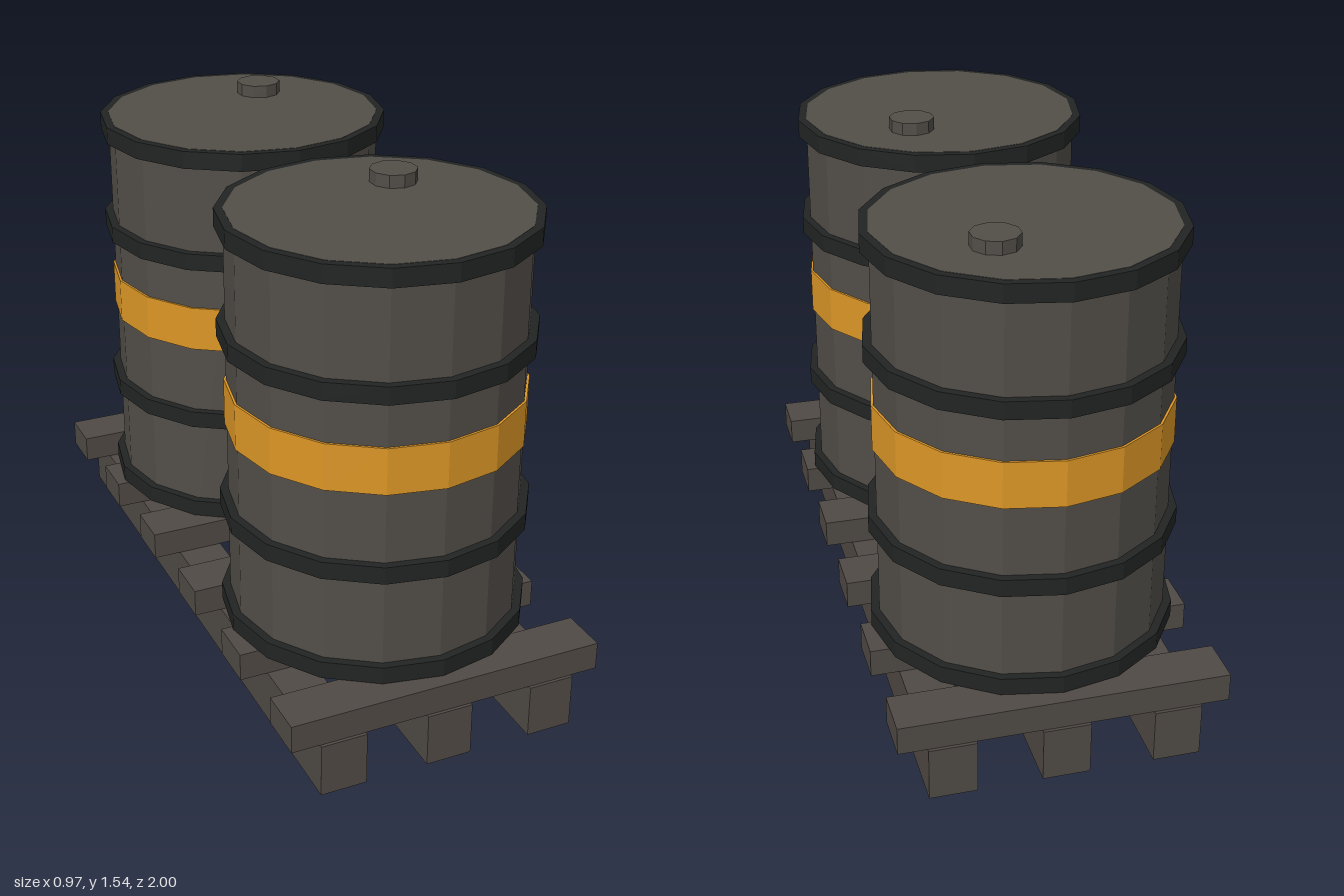
import * as THREE from 'three';

export function createModel() {
  const flat = (name, color) => {
    const m = new THREE.MeshStandardMaterial({ color, flatShading: true });
    m.name = name;
    return m;
  };
  const steel = flat('drum grey', 0x524e48);
  const black = flat('hoop black', 0x222424);
  const amber = flat('band amber', 0xdc9626);
  const wood = flat('pallet brown', 0x504a45);

  const add = (parent, name, geometry, material, x = 0, y = 0, z = 0) => {
    const mesh = new THREE.Mesh(geometry, material);
    mesh.name = name;
    mesh.position.set(x, y, z);
    parent.add(mesh);
  };

  const model = new THREE.Group();
  model.name = 'drumsOnPallet';

  // Pallet: three long runners under six cross slats
  const pallet = new THREE.Group();
  pallet.name = 'pallet';
  const runner = new THREE.BoxGeometry(0.14, 0.164, 2);
  for (const x of [-0.33, 0, 0.33]) add(pallet, 'runner', runner, wood, x, 0.082, 0);
  const slat = new THREE.BoxGeometry(0.97, 0.086, 0.146);
  for (let i = 0; i < 6; i++) add(pallet, 'slat', slat, wood, 0, 0.207, (i - 2.5) * 0.367);
  model.add(pallet);

  // Drum parts
  const body = new THREE.CylinderGeometry(0.43, 0.43, 1.25, 16);
  const hoop = new THREE.CylinderGeometry(0.455, 0.455, 0.053, 16);
  const rim = new THREE.LatheGeometry(
    [[0.425, -0.027], [0.455, -0.027], [0.455, 0.027], [0.425, 0.027]].map(p => new THREE.Vector2(...p)), 16);
  const band = new THREE.CylinderGeometry(0.437, 0.437, 0.14, 16);
  const bung = new THREE.CylinderGeometry(0.07, 0.07, 0.04, 10);

  for (const z of [-0.497, 0.497]) {
    const drum = new THREE.Group();
    drum.name = z > 0 ? 'frontDrum' : 'backDrum';
    drum.position.z = z;
    add(drum, 'body', body, steel, 0, 0.875, 0);
    for (const y of [0.279, 0.605, 1.146]) add(drum, 'hoop', hoop, black, 0, y, 0);
    add(drum, 'topRim', rim, black, 0, 1.472, 0);
    add(drum, 'paintedBand', band, amber, 0, 0.915, 0);
    add(drum, 'bung', bung, steel, 0.128, 1.518, -0.175);
    model.add(drum);
  }
  return model;
}
